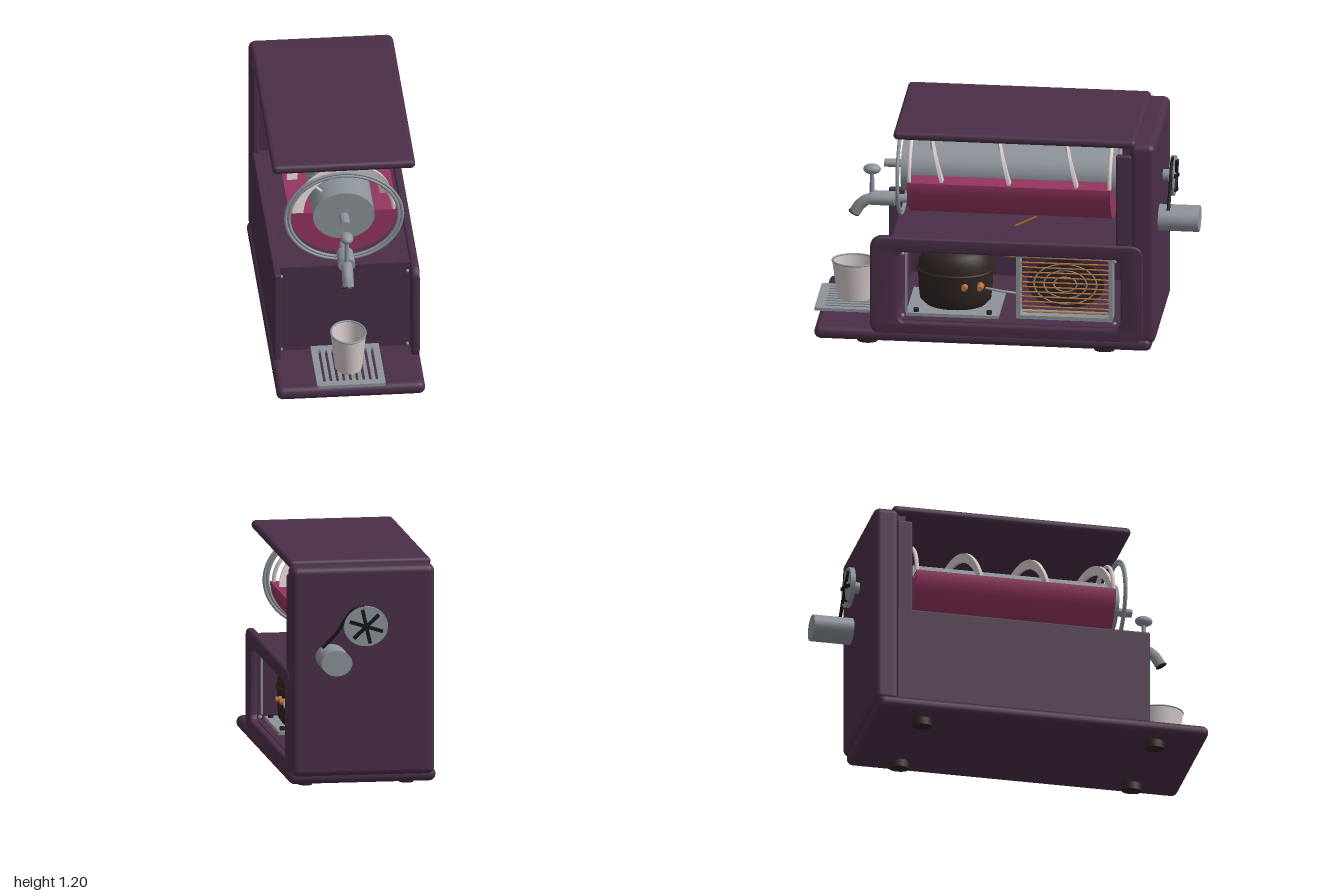
import * as THREE from 'three';
import { toCreasedNormals } from 'three/addons/utils/BufferGeometryUtils.js';
import { RoundedBoxGeometry } from 'three/addons/geometries/RoundedBoxGeometry.js';

const DRUM_Y = 0.885, SQUASH = 0.84; // drum parts are slightly flattened circles

function material(name, color, double = false) {
  const m = new THREE.MeshStandardMaterial({ color, side: double ? THREE.DoubleSide : THREE.FrontSide });
  m.name = name;
  return m;
}

function roundedRect(x0, y0, x1, y1, r, Type = THREE.Shape) {
  const s = new Type();
  s.moveTo(x0 + r, y0);
  s.lineTo(x1 - r, y0).absarc(x1 - r, y0 + r, r, -Math.PI / 2, 0);
  s.lineTo(x1, y1 - r).absarc(x1 - r, y1 - r, r, 0, Math.PI / 2);
  s.lineTo(x0 + r, y1).absarc(x0 + r, y1 - r, r, Math.PI / 2, Math.PI);
  s.lineTo(x0, y0 + r).absarc(x0 + r, y0 + r, r, Math.PI, Math.PI * 1.5);
  return s;
}

// Rectangular ribbon wound around the z axis
function helixGeometry(inner, outer, thick, zTop, pitch, t0, t1, n) {
  const pos = [], index = [];
  for (let i = 0; i <= n; i++) {
    const t = t0 + (t1 - t0) * i / n, z = zTop - pitch * t / (Math.PI * 2);
    for (const [r, dz] of [[inner, -1], [outer, -1], [outer, 1], [inner, 1]])
      pos.push(r * Math.sin(t), r * Math.cos(t), z + dz * thick / 2);
    if (i < n) for (let k = 0; k < 4; k++) {
      const a = i * 4 + k, b = i * 4 + (k + 1) % 4;
      index.push(a, b, a + 4, b, b + 4, a + 4);
    }
  }
  const e = n * 4;
  index.push(0, 2, 1, 0, 3, 2, e, e + 1, e + 2, e, e + 2, e + 3);
  const g = new THREE.BufferGeometry();
  g.setAttribute('position', new THREE.Float32BufferAttribute(pos, 3));
  g.setIndex(index);
  return toCreasedNormals(g, 0.6);
}

export function createModel() {
  const purple = material('purple casing', 0x4a2f48);
  const steel = material('steel', 0x8c9399, true);
  const white = material('off white', 0xd6caca, true);
  const pink = material('pink slush', 0x953660);
  const brown = material('dark brown', 0x2e2422);
  const copper = material('copper', 0xb87038);
  const black = material('black', 0x171515);
  const root = new THREE.Group();

  function add(name, geo, mat, p = [0, 0, 0], r = [0, 0, 0], s = [1, 1, 1]) {
    const m = new THREE.Mesh(geo, mat);
    m.name = name;
    m.position.set(...p);
    m.rotation.set(...r);
    m.scale.set(...s);
    root.add(m);
    return m;
  }
  // Boxes given by their extents
  function box(name, mat, x0, x1, y0, y1, z0, z1, r = 0) {
    const d = [x1 - x0, y1 - y0, z1 - z0];
    const g = r ? new RoundedBoxGeometry(...d, 4, r) : new THREE.BoxGeometry(...d);
    return add(name, g, mat, [(x0 + x1) / 2, (y0 + y1) / 2, (z0 + z1) / 2]);
  }
  // Cylinder along z, squashed in y
  const rod = (name, mat, r, z0, z1, x, y, sy = 1) => add(name,
    new THREE.CylinderGeometry(r, r, z1 - z0, 40), mat, [x, y, (z0 + z1) / 2], [Math.PI / 2, 0, 0], [1, 1, sy]);
  const tube = (name, mat, pts, r, n = 40) => add(name, new THREE.TubeGeometry(
    new THREE.CatmullRomCurve3(pts.map(p => new THREE.Vector3(...p)), false, 'catmullrom', 0.3), n, r, 8), mat);
  // Side-facing plate: shape x runs towards the back
  function sidePlate(name, mat, shape, x, depth, bevel) {
    const g = new THREE.ExtrudeGeometry(shape, { depth: depth - 2 * bevel, curveSegments: 8, bevelEnabled: bevel > 0,
      bevelSize: bevel, bevelThickness: bevel, bevelOffset: -bevel, bevelSegments: 3 });
    return add(name, toCreasedNormals(g, 0.6), mat, [x + bevel, 0, 0], [0, Math.PI / 2, 0]);
  }

  // Casing
  box('base', purple, -0.385, 0.385, 0.04, 0.11, -0.77, 0.98, 0.033);
  box('backHousing', purple, -0.375, 0.375, 0.08, 1.178, -0.79, -0.655, 0.035);
  box('lid', purple, -0.37, 0.37, 1.153, 1.2, -0.69, 0.57, 0.022);
  box('columnFront', purple, -0.345, 0.345, 0.1, 1.15, -0.67, -0.62);
  box('columnPanel', brown, -0.28, 0.28, 0.63, 1.14, -0.621, -0.612);
  for (const s of [-1, 1])
    box('columnStrip', purple, s * 0.3525 - 0.0175, s * 0.3525 + 0.0175, 0.58, 1.115, -0.67, -0.585, 0.012);
  box('leftPanel', purple, -0.37, -0.335, 0.1, 0.612, -0.67, 0.67, 0.008);
  box('frontPanel', purple, -0.336, 0.342, 0.1, 0.604, 0.555, 0.58);
  box('shelf', purple, -0.336, 0.342, 0.58, 0.604, -0.63, 0.57);
  box('compartmentFloor', purple, -0.336, 0.342, 0.1, 0.155, -0.63, 0.56);
  const side = roundedRect(-0.69, 0.08, 0.73, 0.62, 0.06);
  side.holes.push(roundedRect(-0.545, 0.155, 0.61, 0.54, 0.035, THREE.Path));
  sidePlate('rightPanel', purple, side, 0.34, 0.042, 0.012);
  for (const x of [-0.327, 0.327]) for (const y of [0.12, 0.555])
    add('screw', new THREE.SphereGeometry(0.009, 10, 8), steel, [x, y, 0.583]);
  for (const x of [-0.267, 0.262]) for (const z of [0.715, -0.515])
    add('foot', new THREE.CylinderGeometry(0.038, 0.038, 0.05, 24), brown, [x, 0.025, z], [0, 0, 0], [1, 1, 1.4]);

  // Drum: core, slush, mixing spiral and end rings
  rod('drumCore', steel, 0.16, -0.6, 0.555, 0, DRUM_Y, SQUASH);
  rod('driveShaft', steel, 0.025, 0.55, 0.655, 0, DRUM_Y, SQUASH);
  const half = new THREE.Shape();
  half.absarc(0, 0, 0.28, Math.PI, Math.PI * 2);
  half.closePath();
  add('slush', toCreasedNormals(new THREE.ExtrudeGeometry(half, { depth: 1.055, bevelEnabled: false, curveSegments: 48 }), 0.4),
    pink, [0, DRUM_Y, -0.545], [0, 0, 0], [1, SQUASH, 1]);
  add('mixingSpiral', helixGeometry(0.205, 0.26, 0.016, 0.42, 0.35, -1.55, 17.2, 220), white,
    [0, DRUM_Y, 0], [0, 0, 0], [1, SQUASH, 1]);
  for (const z of [0.5, -0.54])
    add('spiralHoop', new THREE.TorusGeometry(0.262, 0.011, 10, 64, Math.PI), white, [0, DRUM_Y, z], [0, 0, 0], [1, SQUASH, 1]);
  for (const [a, z] of [[0.5, 0.4], [-0.75, 0.46], [0.4, 0.05], [0.4, -0.3]]) {
    const at = r => [r * Math.sin(a), DRUM_Y + r * SQUASH * Math.cos(a), z];
    tube('spiralSpoke', white, [at(0.14), at(0.19), at(0.25)], 0.008, 6);
  }
  for (const z of [0.557, -0.59]) {
    add('drumRingOuter', new THREE.TorusGeometry(0.303, 0.009, 10, 72), steel, [0, DRUM_Y, z], [0, 0, 0], [1, SQUASH, 1]);
    add('drumRingInner', new THREE.TorusGeometry(0.285, 0.009, 10, 72), steel, [0, DRUM_Y, z], [0, 0, 0], [1, SQUASH, 1]);
    for (let i = 0; i < 8; i++) {
      const a = i * Math.PI / 4;
      add('ringBolt', new THREE.SphereGeometry(0.009, 8, 6), steel, [0.305 * Math.cos(a), DRUM_Y + 0.256 * Math.sin(a), z]);
    }
  }
  tube('drumFeed', copper, [[0.1, 0.6, -0.03], [0.1, 0.62, -0.07], [0.1, 0.66, -0.15]], 0.006, 8);

  // Dispensing tap
  rod('tapPipe', steel, 0.022, 0.5, 0.62, 0, 0.69);
  rod('tapBody', steel, 0.044, 0.6, 0.725, 0, 0.688, 0.85);
  tube('tapSpout', steel, [[0, 0.69, 0.7], [0, 0.675, 0.75], [0, 0.645, 0.785], [0, 0.605, 0.81]], 0.03, 16);
  add('spoutMouth', new THREE.CylinderGeometry(0.026, 0.031, 0.012, 20), brown, [0, 0.606, 0.811], [-0.5, 0, 0]);
  add('tapStem', new THREE.CylinderGeometry(0.011, 0.013, 0.12, 16), steel, [0, 0.765, 0.72]);
  add('tapKnob', new THREE.SphereGeometry(0.034, 24, 16), steel, [0, 0.847, 0.72], [0, 0, 0], [1, 0.8, 1.35]);

  // Slotted drip tray and cup
  const tray = roundedRect(-0.177, -0.205, 0.177, 0.205, 0.008);
  for (let i = -4; i <= 4; i++)
    tray.holes.push(roundedRect(i * 0.034 - 0.007, -0.16, i * 0.034 + 0.007, 0.16, 0.006, THREE.Path));
  add('dripTray', new THREE.ExtrudeGeometry(tray, { depth: 0.016, bevelEnabled: false }), steel, [0, 0.119, 0.795], [-Math.PI / 2, 0, 0]);
  const cup = [[0, 0.136], [0.07, 0.136], [0.092, 0.335], [0.086, 0.335], [0.065, 0.145], [0, 0.145]];
  add('cup', toCreasedNormals(new THREE.LatheGeometry(cup.map(p => new THREE.Vector2(...p)), 40), 0.5), white, [0, 0, 0.81], [0, 0, 0], [1, 1, 1.27]);
  add('cupRim', new THREE.TorusGeometry(0.09, 0.005, 8, 40), steel, [0, 0.337, 0.81], [Math.PI / 2, 0, 0], [1, 1.27, 1]);

  // Compressor on its mounting plate
  box('mountingPlate', steel, -0.06, 0.31, 0.163, 0.18, 0.03, 0.51);
  const dome = [[0, 0.18], [0.12, 0.18], [0.142, 0.21], [0.148, 0.28], [0.15, 0.37], [0.145, 0.42], [0.125, 0.465], [0.08, 0.488], [0, 0.495]];
  add('compressor', new THREE.LatheGeometry(dome.map(p => new THREE.Vector2(...p)), 40), brown, [0.13, 0, 0.272], [0, 0, 0], [1, 1, 1.3]);
  add('compressorSeam', new THREE.TorusGeometry(0.15, 0.008, 8, 48), brown, [0.13, 0.37, 0.272], [Math.PI / 2, 0, 0], [1, 1.3, 1]);
  for (const z of [0.21, 0.13])
    add('copperFitting', new THREE.CylinderGeometry(0.014, 0.02, 0.05, 12), copper, [z > 0.2 ? 0.275 : 0.265, 0.318, z], [0, 0, -Math.PI / 2]);
  for (const z of [0.08, 0.46])
    add('mountBolt', new THREE.CylinderGeometry(0.014, 0.014, 0.02, 12), brown, [0.285, 0.188, z]);
  tube('dischargePipe', copper, [[0.15, 0.47, 0.28], [0.15, 0.52, 0.26], [0.17, 0.535, 0.17], [0.2, 0.52, 0.1],
    [0.23, 0.49, 0.02], [0.25, 0.49, -0.1], [0.25, 0.505, -0.3], [0.25, 0.51, -0.53]], 0.007);
  tube('suctionPipe', copper, [[0.12, 0.47, 0.18], [0.14, 0.51, 0.13], [0.16, 0.53, 0.09], [0.18, 0.5, 0.04]], 0.006, 20);
  tube('steelLine', steel, [[0.27, 0.318, 0.1], [0.28, 0.31, 0.03], [0.27, 0.295, -0.07]], 0.007, 12);

  // Condenser: frame, fan and serpentine coil
  const frame = roundedRect(0.06, 0.163, 0.56, 0.525, 0.006);
  frame.holes.push(roundedRect(0.08, 0.183, 0.54, 0.505, 0.004, THREE.Path));
  sidePlate('condenserFrame', steel, frame, 0.2, 0.09, 0);
  add('condenserFan', new THREE.CylinderGeometry(0.135, 0.135, 0.02, 40), brown, [0.225, 0.345, -0.31], [0, 0, Math.PI / 2], [1, 1, 1.48]);
  for (const r of [0.04, 0.075, 0.11])
    add('fanGuard', new THREE.TorusGeometry(r, 0.003, 6, 40), steel, [0.243, 0.345, -0.31], [0, Math.PI / 2, 0], [1.48, 1, 1]);
  const coil = [];
  for (let i = 0; i < 12; i++) {
    const y = 0.195 + i * 0.027, a = i % 2 ? -0.53 : -0.09, b = i % 2 ? -0.09 : -0.53;
    coil.push([0.265, y, a], [0.265, y + 0.002, -0.31], [0.265, y + 0.004, b]);
  }
  tube('condenserCoil', copper, coil, 0.0045, 300);
  box('gaugeBar', steel, 0.318, 0.33, 0.19, 0.515, 0.5, 0.512);
  for (const y of [0.172, 0.515]) for (const z of [0.525, -0.575])
    add('compartmentScrew', new THREE.SphereGeometry(0.01, 10, 8), steel, [0.33, y, z]);

  // Rear blower with outlet duct
  rod('outletDuct', steel, 0.08, -1, -0.78, 0.17, 0.71, SQUASH);
  rod('blowerHub', steel, 0.03, -0.86, -0.78, -0.01, 0.875);
  rod('blowerDisc', steel, 0.115, -0.855, -0.83, -0.005, 0.875, 0.9);
  for (let i = 0; i < 3; i++)
    add('blowerBlade', new THREE.BoxGeometry(0.18, 0.018, 0.016), black, [-0.005, 0.875, -0.858], [0, 0, i * Math.PI / 3 + 0.3], [1, 1, 1]);
  tube('blowerScroll', black, [[0, 0.975, -0.842], [0.06, 0.962, -0.842], [0.1, 0.915, -0.842], [0.14, 0.85, -0.842], [0.222, 0.765, -0.842]], 0.009, 24);
  return root;
}
